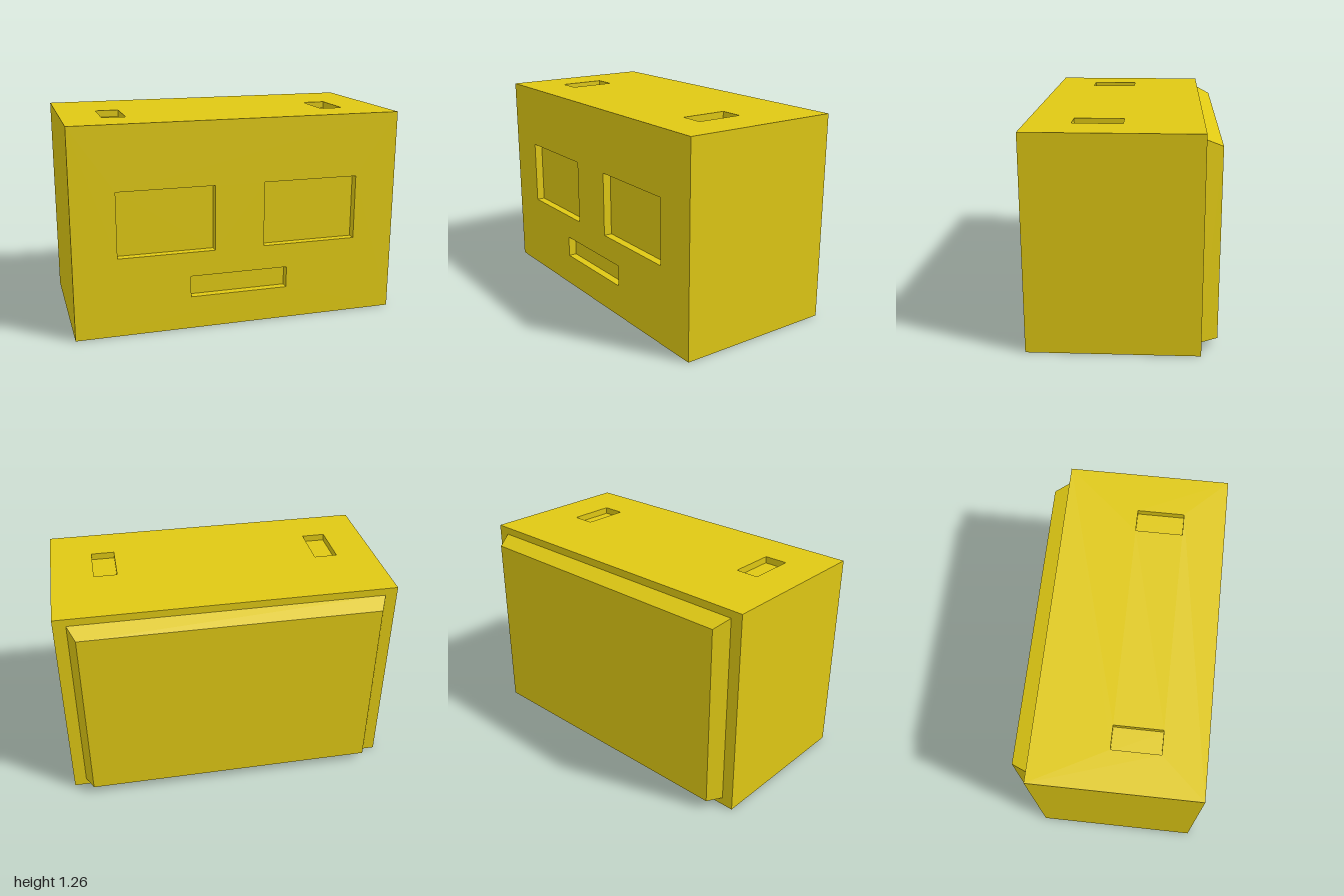
import * as THREE from 'three';

const W = 1, H = 1.26, FRONT = 0.54, BACK = -0.445, REAR = -0.54;
const material = new THREE.MeshStandardMaterial({ color: 0xdfc814, flatShading: true });

// Rectangles are [x0, y0, x1, y1]
const corners = ([x0, y0, x1, y1]) =>
  [[x0, y0], [x1, y0], [x1, y1], [x0, y1]].map(([x, y]) => new THREE.Vector2(x, y));

// Box without some of its faces (0..5 = +x, -x, +y, -y, +z, -z); inward turns it inside out
function openBox(w, h, d, dropped, inward = false) {
  const geometry = new THREE.BoxGeometry(w, h, d);
  const index = Array.from(geometry.index.array).filter((_, i) => !dropped.includes(Math.floor(i / 6)));
  geometry.setIndex(inward ? index.reverse() : index);
  geometry.clearGroups();
  geometry.computeVertexNormals();
  return geometry;
}

function addMesh(parent, name, geometry) {
  const mesh = new THREE.Mesh(geometry, material);
  mesh.name = name;
  parent.add(mesh);
  return mesh;
}

// Flat panel facing +z, with a sunken pocket behind every opening
function pocketPanel(name, outline, pockets, depth) {
  const group = new THREE.Group();
  group.name = name;
  const shape = new THREE.Shape(corners(outline));
  for (const [pocketName, rect] of pockets) {
    shape.holes.push(new THREE.Path(corners(rect).reverse()));
    const [x0, y0, x1, y1] = rect;
    const pocket = addMesh(group, pocketName, openBox(x1 - x0, y1 - y0, depth, [4], true));
    pocket.position.set((x0 + x1) / 2, (y0 + y1) / 2, -depth / 2);
  }
  addMesh(group, name + 'Face', new THREE.ShapeGeometry(shape));
  return group;
}

export function createModel() {
  const model = new THREE.Group();
  model.name = 'blockHead';

  // Side walls and underside
  const body = addMesh(model, 'body', openBox(2 * W, H, FRONT - BACK, [2, 4, 5]));
  body.position.set(0, H / 2, (FRONT + BACK) / 2);

  // Front with two eye recesses and a mouth slot
  const front = pocketPanel('front', [-W, 0, W, H], [
    ['rightEye', [-0.74, 0.48, -0.155, 0.875]],
    ['leftEye', [0.15, 0.48, 0.74, 0.875]],
    ['mouth', [-0.305, 0.2, 0.3, 0.33]],
  ], 0.05);
  front.position.z = FRONT;
  model.add(front);

  // Top with two slots; panel y runs towards -z
  const top = pocketPanel('top', [-W, -FRONT, W, -BACK], [
    ['rightSlot', [-0.765, -0.285, -0.625, 0]],
    ['leftSlot', [0.605, -0.285, 0.745, 0]],
  ], 0.04);
  top.rotation.x = -Math.PI / 2;
  top.position.y = H;
  model.add(top);

  // Back rim around the raised panel
  const base = [-0.93, 0.047, 0.925, 1.215], face = [-0.885, 0.055, 0.88, 1.17];
  const rimShape = new THREE.Shape(corners([-W, 0, W, H]));
  const mirroredBase = [-base[2], base[1], -base[0], base[3]];
  rimShape.holes.push(new THREE.Path(corners(mirroredBase).reverse()));
  const rim = addMesh(model, 'backRim', new THREE.ShapeGeometry(rimShape));
  rim.rotation.y = Math.PI;
  rim.position.z = BACK;

  // Raised back panel with bevelled edges
  const panel = openBox(2, 2, 2, [4]);
  const p = panel.attributes.position;
  for (let i = 0; i < p.count; i++) {
    const rect = p.getZ(i) > 0 ? base : face;
    p.setXYZ(i, rect[p.getX(i) > 0 ? 2 : 0], rect[p.getY(i) > 0 ? 3 : 1], p.getZ(i) > 0 ? BACK : REAR);
  }
  panel.computeVertexNormals();
  addMesh(model, 'backPanel', panel);

  return model;
}
